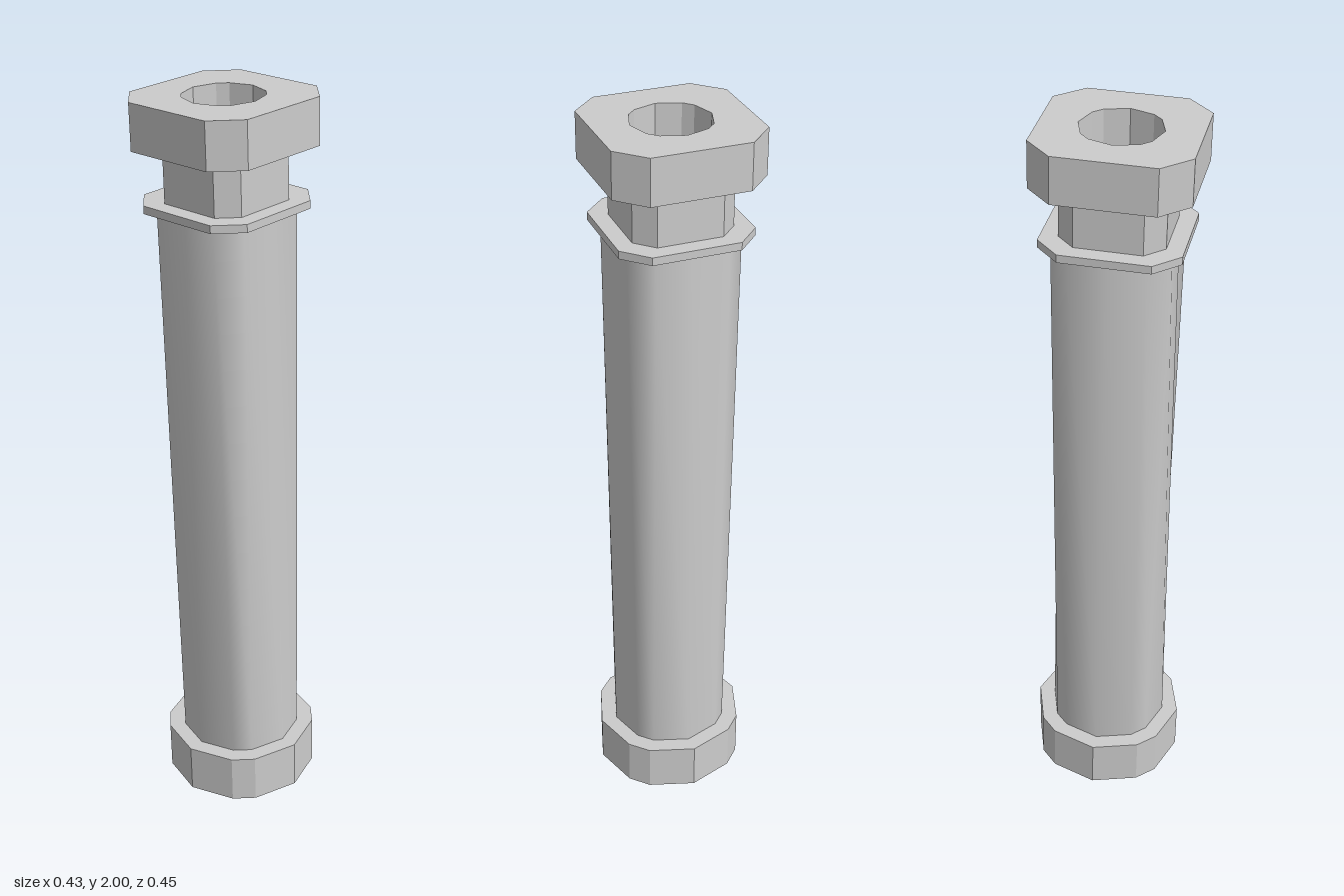
import * as THREE from 'three';

// Unit outlines with twelve matching points: a rounded one and a chamfered square
const ROUND = [[1, 0], [0.81, 0.588], [0.588, 0.81]];
const SQUARE = [[1, 0], [1, 0.647], [0.647, 1]];

const material = new THREE.MeshStandardMaterial({ color: 0xcccccc, side: THREE.DoubleSide });

// Repeat the quarter outline four times around the axis
function ring(quarter, r, y) {
  const points = [];
  for (let q = 0; q < 4; q++) {
    const c = Math.round(Math.cos(q * Math.PI / 2)), s = Math.round(Math.sin(q * Math.PI / 2));
    for (const [x, z] of quarter) points.push([r * (x * c - z * s), y, r * (x * s + z * c)]);
  }
  return points;
}

// Skin a list of [outline, radius, height] sections
function loft(name, sections, smooth = false) {
  const positions = [], index = [], n = 12;
  for (const section of sections) positions.push(...ring(...section).flat());
  for (let i = 0; i < sections.length - 1; i++) {
    for (let j = 0; j < n; j++) {
      const a = i * n + j, d = i * n + (j + 1) % n;
      index.push(a, a + n, d + n, a, d + n, d);
    }
  }
  let geometry = new THREE.BufferGeometry();
  geometry.setAttribute('position', new THREE.Float32BufferAttribute(positions, 3));
  geometry.setIndex(index);
  if (!smooth) geometry = geometry.toNonIndexed();
  geometry.computeVertexNormals();
  const mesh = new THREE.Mesh(geometry, material);
  mesh.name = name;
  return mesh;
}

export function createModel() {
  const model = new THREE.Group();
  model.name = 'hollowPipe';

  // Open foot sleeve with a shoulder
  model.add(loft('footSleeve', [[ROUND, 0.21, 0], [ROUND, 0.21, 0.138], [ROUND, 0.165, 0.138]]));

  // Long shaft, blending from round to chamfered square
  model.add(loft('shaft', [[ROUND, 0.165, 0.138], [SQUARE, 0.15, 1.709]], true));

  // Thin collar, neck and head
  model.add(loft('collar', [
    [SQUARE, 0.15, 1.709], [SQUARE, 0.178, 1.709], [SQUARE, 0.178, 1.73], [SQUARE, 0.133, 1.73],
  ]));
  model.add(loft('neck', [[SQUARE, 0.133, 1.73], [SQUARE, 0.133, 1.87]]));
  model.add(loft('head', [
    [SQUARE, 0.133, 1.87], [SQUARE, 0.198, 1.87], [SQUARE, 0.198, 1.992],
    [ROUND, 0.105, 1.992], [ROUND, 0.105, 1.87],
  ]));

  // Slight lean of the whole pipe
  const axis = new THREE.Vector3(-0.0125, 1, 0.0215).normalize();
  model.quaternion.setFromUnitVectors(new THREE.Vector3(0, 1, 0), axis);
  model.position.set(0.005, 0.005, -0.016);

  const root = new THREE.Group();
  root.name = 'model';
  root.add(model);
  return root;
}
